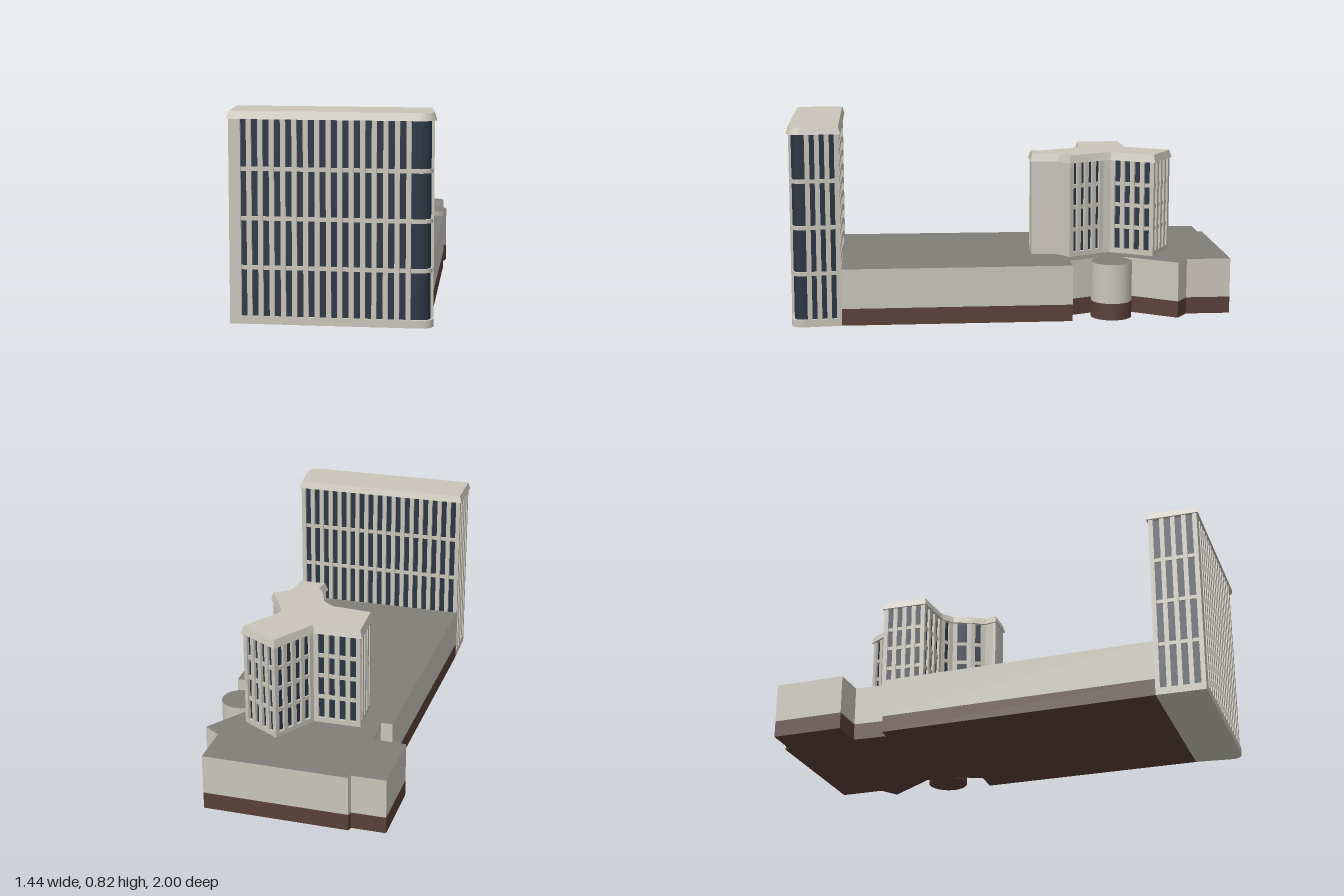
import * as THREE from 'three';
import { mergeGeometries, toCreasedNormals } from 'three/addons/utils/BufferGeometryUtils.js';

const mat = (name, color) => {
  const m = new THREE.MeshStandardMaterial({ color });
  m.name = name;
  return m;
};

// Plan points are [x, z]; 2D work uses (x, -z), counter-clockwise from above
const plan = (pts) => {
  const v = pts.map(([x, z]) => new THREE.Vector2(x, -z));
  return THREE.ShapeUtils.area(v) < 0 ? v.reverse() : v;
};

// Move an outline outward (or inward when d is negative) with mitred corners
function offset(poly, d) {
  const n = poly.length;
  const normal = (a, b) => new THREE.Vector2(b.y - a.y, a.x - b.x).normalize();
  return poly.map((p, i) => {
    const n1 = normal(poly[(i + n - 1) % n], p);
    const n2 = normal(p, poly[(i + 1) % n]);
    const k = d / (1 + n1.dot(n2));
    return p.clone().add(n1.add(n2).multiplyScalar(k));
  });
}

// Solid between two matching outlines; groups: 0 sides, 1 top, 2 bottom
function loft(lower, y0, upper, y1) {
  const pos = [];
  const put = (p, y) => pos.push(p.x, y, -p.y);
  const n = lower.length;
  for (let i = 0; i < n; i++) {
    const j = (i + 1) % n;
    put(lower[i], y0); put(lower[j], y0); put(upper[j], y1);
    put(lower[i], y0); put(upper[j], y1); put(upper[i], y1);
  }
  const sides = pos.length / 3;
  const topFaces = THREE.ShapeUtils.triangulateShape(upper, []);
  for (const f of topFaces) f.forEach((i) => put(upper[i], y1));
  const tops = pos.length / 3 - sides;
  const lowFaces = THREE.ShapeUtils.triangulateShape(lower, []);
  for (const [a, b, c] of lowFaces) [a, c, b].forEach((i) => put(lower[i], y0));
  const g = new THREE.BufferGeometry();
  g.setAttribute('position', new THREE.Float32BufferAttribute(pos, 3));
  g.addGroup(0, sides, 0);
  g.addGroup(sides, tops, 1);
  g.addGroup(sides + tops, pos.length / 3 - sides - tops, 2);
  return toCreasedNormals(g, 0.5);
}
const prism = (poly, y0, y1) => loft(poly, y0, poly, y1);

const DEPTH = 0.012, FIN = 0.019, PITCH = 0.044;

// Upright slab lying against the edge a-b, from distance s to e along it
function slab(a, b, s, e, y0, y1) {
  const dir = b.clone().sub(a).normalize();
  const c = a.clone().addScaledVector(dir, (s + e) / 2);
  c.add(new THREE.Vector2(dir.y, -dir.x).multiplyScalar(-DEPTH / 2));
  return new THREE.BoxGeometry(e - s, y1 - y0, DEPTH)
    .rotateY(Math.atan2(dir.y, dir.x))
    .translate(c.x, (y0 + y1) / 2, -c.y);
}

// Evenly spaced fins along the edge a-b
function fins(a, b, y0, y1) {
  const len = a.distanceTo(b);
  const n = Math.max(1, Math.round((len - FIN) / PITCH));
  return Array.from({ length: n + 1 }, (_, i) => {
    const s = ((len - FIN) * i) / n;
    return slab(a, b, s, s + FIN, y0, y1);
  });
}

export function createModel() {
  const wall = mat('pale concrete', 0xc9c5ba);
  const roof = mat('grey roof', 0x807e79);
  const brown = mat('brown plinth', 0x5a4039);
  const glass = mat('dark glass', 0x2a3544);

  const model = new THREE.Group();
  model.name = 'hotelComplex';
  const add = (parent, name, geo, material) => {
    const m = new THREE.Mesh(geo, material);
    m.name = name;
    parent.add(m);
  };

  // Low podium with a brown plinth and a round turret
  const podium = new THREE.Group();
  podium.name = 'podium';
  model.add(podium);
  const podiumPlan = plan([
    [0.05, -1.0], [0.175, -0.935], [0.19, -0.95], [0.72, -0.67], [0.635, -0.505],
    [0.675, -0.43], [0.46, -0.31], [0.46, -0.28], [0.47, -0.2], [0.41, -0.2],
    [0.4, -0.07], [0.49, -0.025], [0.055, 0.82], [-0.625, 0.47], [-0.075, -0.56],
    [-0.03, -0.54], [0.03, -0.67], [-0.09, -0.735],
  ]);
  add(podium, 'podiumPlinth', prism(podiumPlan, 0, 0.07), [brown, brown, brown]);
  add(podium, 'podiumWalls', prism(podiumPlan, 0.07, 0.235), [wall, roof, brown]);
  const turret = (y0, y1) =>
    new THREE.CylinderGeometry(0.085, 0.085, y1 - y0, 32).translate(0.497, (y0 + y1) / 2, -0.215);
  add(podium, 'turretPlinth', turret(0, 0.07), brown);
  add(podium, 'turretWalls', turret(0.07, 0.235), [wall, roof, brown]);

  // Shared make-up of both towers: slab, glass core, floor bands, fins, flared cap
  function tower(name, outline, y0, y1, y2, y3, bands, pieces) {
    const g = new THREE.Group();
    g.name = name;
    model.add(g);
    add(g, 'baseSlab', prism(outline, y0, y1), [wall, wall, wall]);
    add(g, 'glassCore', prism(offset(outline, -DEPTH), y1, y2), [glass, glass, glass]);
    const ring = offset(outline, -0.005);
    for (const y of bands) add(g, 'floorBand', prism(ring, y - 0.008, y + 0.008), [wall, wall, wall]);
    add(g, 'facadeFins', mergeGeometries(pieces), wall);
    const cap = loft(offset(outline, 0.007), y2, offset(outline, -0.002), y3);
    add(g, 'roofCap', cap, [wall, wall, wall]);
  }

  // Tall slab tower with one rounded glass corner
  const corner = new THREE.QuadraticBezierCurve(
    new THREE.Vector2(-0.08, -0.982), new THREE.Vector2(-0.02, -1.013), new THREE.Vector2(0.0, -0.962));
  const A = new THREE.Vector2(-0.715, -0.652);
  const B = new THREE.Vector2(-0.625, -0.47);
  const C = new THREE.Vector2(0.055, -0.82);
  const frontEnd = new THREE.Vector2(-0.1, -0.9715);
  const sideStart = new THREE.Vector2(0.005, -0.949);
  const frontStart = A.clone().lerp(frontEnd, 0.035);
  const [t0, t1] = [0.03, 0.79];
  tower('slabTower', [A, ...corner.getPoints(8), C, B], 0, t0, t1, 0.82, [0.22, 0.41, 0.6], [
    slab(A, frontEnd, 0, 0.045, t0, t1),
    ...fins(frontStart, frontEnd, t0, t1),
    ...fins(sideStart, C, t0, t1),
    ...fins(C, B, t0, t1),
    ...fins(B, A, t0, t1),
  ]);

  // Three-winged tower on the podium; the front wing ends in plain walls
  const wings = plan([
    [-0.02, -0.39], [0.12, -0.3], [0.145, -0.245], [0.135, -0.165], [0.14, -0.1],
    [0.105, -0.06], [0.2, -0.01], [0.265, -0.1], [0.34, -0.11], [0.335, -0.285],
    [0.345, -0.315], [0.51, -0.42], [0.41, -0.58], [0.235, -0.47], [0.06, -0.56],
  ]);
  const [w0, w1] = [0.255, 0.635];
  const wingPieces = wings.flatMap((a, i) => {
    const b = wings[(i + 1) % wings.length];
    const len = a.distanceTo(b);
    if (i === 5) return [slab(a, b, 0, len * 0.87, w0, w1)];
    if (i === 4 || i === 6 || i === 7) return [slab(a, b, 0, len, w0, w1)];
    return fins(a, b, w0, w1);
  });
  tower('wingedTower', wings, 0.235, w0, w1, 0.668, [0.35, 0.445, 0.535], wingPieces);

  return model;
}
